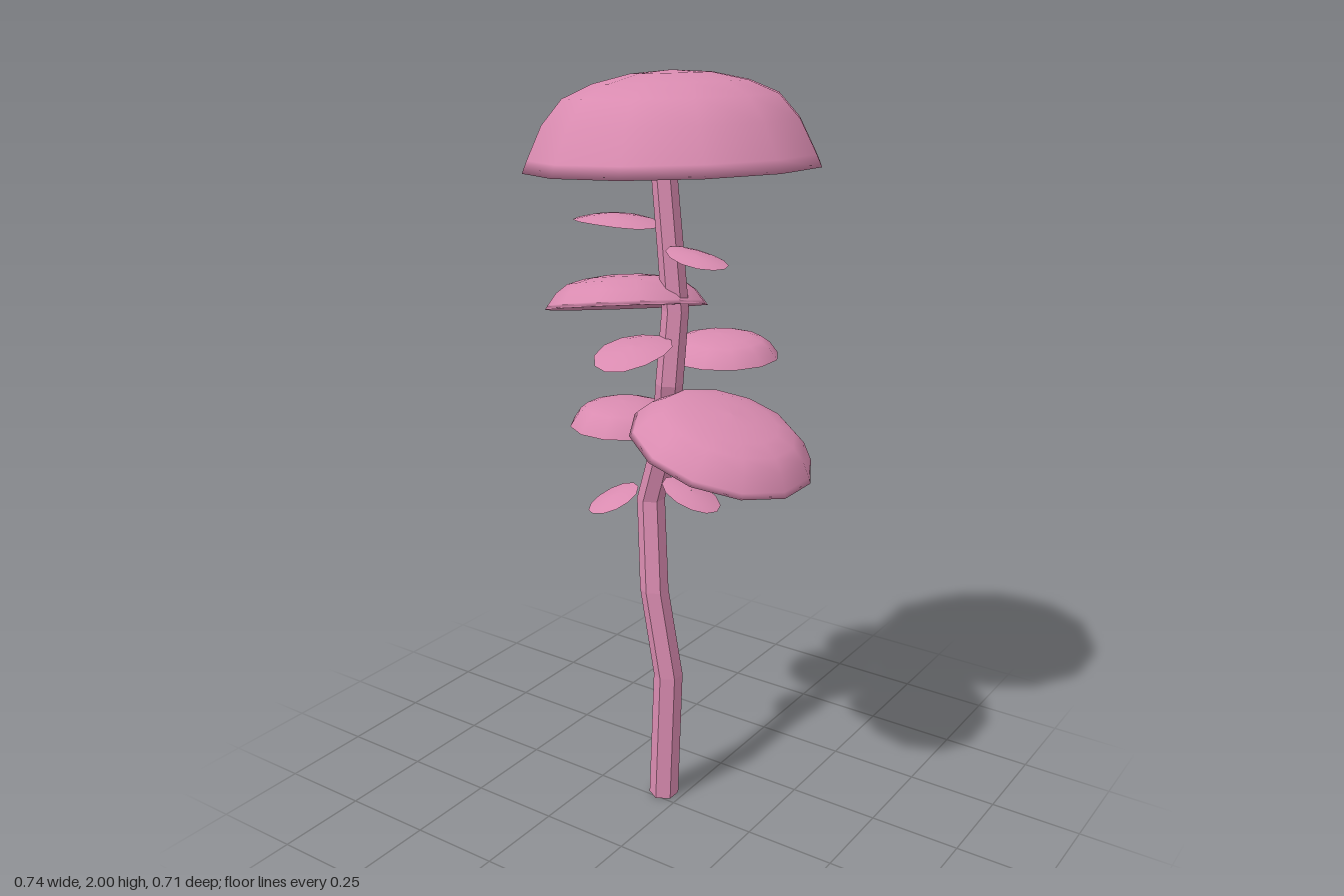
import * as THREE from 'three';
import { mergeVertices } from 'three/addons/utils/BufferGeometryUtils.js';

const PINK = 0xd98bb0;
const smooth = new THREE.MeshStandardMaterial({ color: PINK });
const faceted = new THREE.MeshStandardMaterial({ color: PINK, flatShading: true });
const thin = new THREE.MeshStandardMaterial({ color: PINK, side: THREE.DoubleSide });

// Unit dome outline, rim to crown
const DOME = [[1, 0], [0.965, 0.13], [0.86, 0.48], [0.72, 0.74], [0.52, 0.88], [0.27, 0.97], [0, 1]]
  .map(([r, y]) => new THREE.Vector2(r, y));

// Twelve-sided mushroom cap; lean is the direction of its axis
function cap(name, radius, height, position, lean, sharpRim = false) {
  const group = new THREE.Group();
  group.name = name;
  const outline = sharpRim ? DOME : [new THREE.Vector2(0, 0), ...DOME];
  const dome = new THREE.LatheGeometry(outline, 12);
  dome.rotateY(Math.PI / 12).scale(radius, height, radius);
  group.add(new THREE.Mesh(dome, smooth));
  if (sharpRim) {
    const base = new THREE.CircleGeometry(radius, 12);
    base.rotateX(Math.PI / 2).rotateY(Math.PI / 12);
    group.add(new THREE.Mesh(base, smooth));
  }
  group.children.forEach((m) => { m.name = name + 'Surface'; });
  group.position.set(...position);
  group.quaternion.setFromUnitVectors(
    new THREE.Vector3(0, 1, 0), new THREE.Vector3(...lean).normalize());
  return group;
}

// Thin oval bracket, arched along its length (local +x is the tip)
function bracket(name, length, width, position, yaw, slope, arch, roll = 0) {
  let geo = new THREE.RingGeometry(0.002, 1, 12, 3);
  geo.rotateX(-Math.PI / 2);
  const p = geo.attributes.position;
  for (let i = 0; i < p.count; i++) {
    const u = p.getX(i), v = p.getZ(i);
    p.setXYZ(i, u * length / 2, slope * u - arch * u * u - 0.012 * v * v, v * width / 2);
  }
  geo.deleteAttribute('normal');
  geo.deleteAttribute('uv');
  geo = mergeVertices(geo, 1e-5);
  geo.computeVertexNormals();
  const mesh = new THREE.Mesh(geo, thin);
  mesh.name = name;
  mesh.position.set(...position);
  mesh.rotation.set(roll, yaw, 0, 'YXZ');
  return mesh;
}

// Crooked six-sided stem: each cylinder ring is moved onto the path
function stem() {
  const path = [
    [-0.055, 0, -0.032], [-0.045, 0.38, -0.04], [-0.088, 0.63, -0.036],
    [-0.117, 0.88, -0.064], [-0.058, 1.06, -0.05], [-0.02, 1.23, -0.01],
    [-0.012, 1.42, -0.025], [-0.028, 1.58, -0.026], [-0.052, 1.79, -0.03]];
  const n = path.length - 1;
  const geo = new THREE.CylinderGeometry(0.032, 0.041, n, 6, n);
  const p = geo.attributes.position;
  for (let i = 0; i < p.count; i++) {
    const [x, y, z] = path[Math.round(p.getY(i) + n / 2)];
    p.setXYZ(i, p.getX(i) + x, y, p.getZ(i) + z);
  }
  geo.computeVertexNormals();
  const mesh = new THREE.Mesh(geo, faceted);
  mesh.name = 'stem';
  return mesh;
}

export function createModel() {
  const model = new THREE.Group();
  model.name = 'mushroomTree';
  model.add(
    stem(),
    // Large caps
    cap('topCap', 0.363, 0.225, [0, 1.775, 0], [-0.06, 1, -0.04]),
    cap('upperRightCap', 0.212, 0.085, [-0.175, 1.4, -0.045], [-0.18, 1, -0.2]),
    cap('lowerLeftCap', 0.24, 0.1, [0.145, 1.092, 0], [0.3, 1, 0]),
    // Flat-bottomed half caps
    cap('lowerRightCap', 0.145, 0.065, [-0.2, 1.077, -0.06], [0, 1, 0], true),
    cap('backCap', 0.152, 0.06, [0.01, 1.265, -0.208], [0, 1, 0], true),
    // Small thin brackets
    bracket('upperRightBracket', 0.235, 0.18, [-0.185, 1.642, -0.015], Math.PI, 0.003, 0.02),
    bracket('upperLeftBracket', 0.16, 0.135, [0.075, 1.575, 0.01], 0, -0.018, 0.008),
    bracket('frontBracket', 0.23, 0.178, [-0.045, 1.353, 0.11], -Math.PI / 2, -0.02, 0.02),
    bracket('lowerLeftBracket', 0.16, 0.135, [0.037, 0.947, -0.027], 0, -0.03, 0.012),
    bracket('lowerFrontBracket', 0.14, 0.13, [-0.155, 0.92, 0.055], -Math.PI / 2 - 0.3, -0.026, 0.01, 0.15),
  );
  return model;
}
